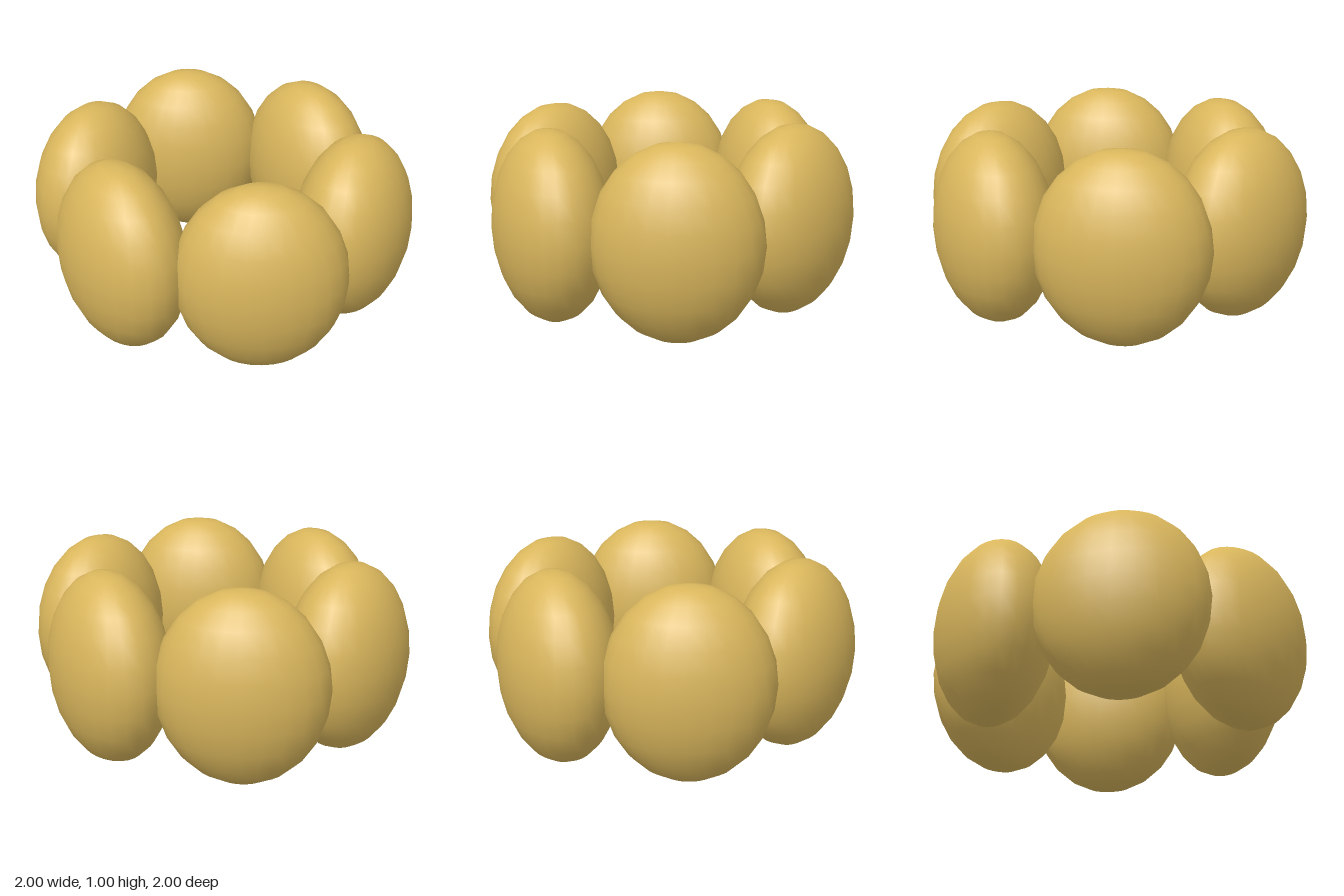
import * as THREE from 'three';

export function createModel() {
  const model = new THREE.Group();
  model.name = 'petalRing';

  const ochre = new THREE.MeshStandardMaterial({ color: 0xd9b65c });
  ochre.name = 'ochre';

  // Flattened egg: thin outward, longer along the ring, tallest upright
  const lobe = new THREE.SphereGeometry(1, 24, 12);
  lobe.scale(0.29, 0.498, 0.426);
  lobe.rotateY(THREE.MathUtils.degToRad(-12)); // slight pinwheel twist

  // Six lobes around a ring, slightly stretched front to back
  const ring = new THREE.Group();
  ring.name = 'ring';
  ring.scale.z = 1.04;
  ring.position.y = 0.5;
  for (let i = 0; i < 6; i++) {
    const angle = (i * Math.PI) / 3;
    const mesh = new THREE.Mesh(lobe, ochre);
    mesh.name = `lobe${i + 1}`;
    mesh.position.set(0.703 * Math.cos(angle), 0, -0.703 * Math.sin(angle));
    mesh.rotation.y = angle;
    ring.add(mesh);
  }
  model.add(ring);
  return model;
}
